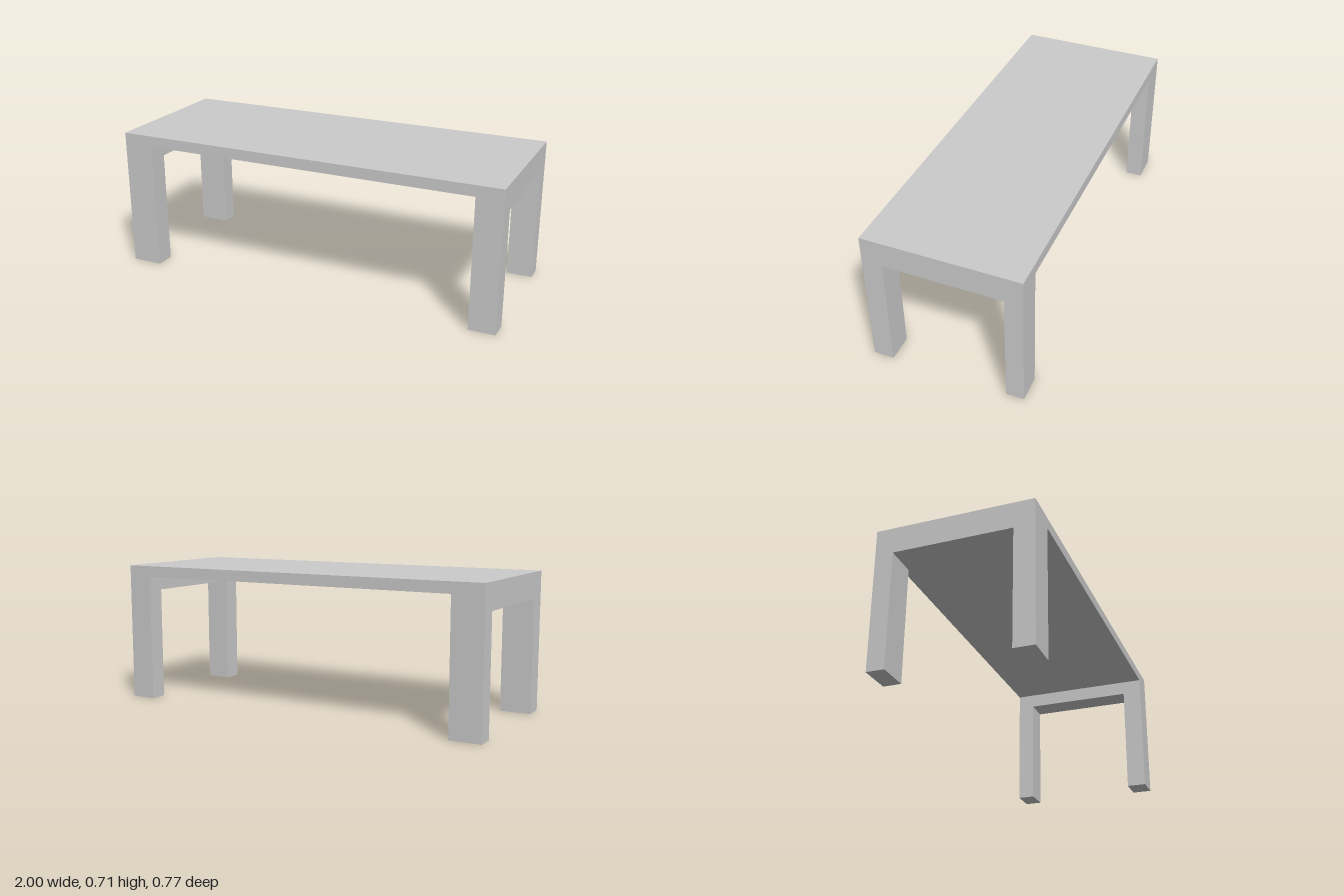
import * as THREE from 'three';

const HEIGHT = 0.71, SLAB_BOTTOM = 0.655, APRON_BOTTOM = 0.58;
const HALF_X = 1, FRONT = 0.384, BACK = -0.384;
const FRONT_LEG_INNER = 0.283, BACK_LEG_INNER = -0.296;

const material = new THREE.MeshStandardMaterial({ color: 0xcccccc, flatShading: true });

// Two legs joined by an apron, drawn in the z-y plane and extruded along x
function endFrame(name, xMin, xMax) {
  const outline = [
    [BACK, 0], [BACK_LEG_INNER, 0], [BACK_LEG_INNER, APRON_BOTTOM], [FRONT_LEG_INNER, APRON_BOTTOM],
    [FRONT_LEG_INNER, 0], [FRONT, 0], [FRONT, SLAB_BOTTOM], [BACK, SLAB_BOTTOM],
  ];
  // shape x holds -z, so that a quarter turn about y puts it upright along z
  const shape = new THREE.Shape(outline.map(([z, y]) => new THREE.Vector2(-z, y)));
  const geometry = new THREE.ExtrudeGeometry(shape, { depth: xMax - xMin, bevelEnabled: false });
  geometry.rotateY(Math.PI / 2).translate(xMin, 0, 0);
  const mesh = new THREE.Mesh(geometry, material);
  mesh.name = name;
  return mesh;
}

export function createModel() {
  const table = new THREE.Group();
  table.name = 'table';

  // Thin top across the full length
  const top = new THREE.Mesh(
    new THREE.BoxGeometry(2 * HALF_X, HEIGHT - SLAB_BOTTOM, FRONT - BACK), material);
  top.position.y = (HEIGHT + SLAB_BOTTOM) / 2;
  top.name = 'tableTop';

  // End frames; the one at -x is slightly thicker
  table.add(
    top,
    endFrame('leftLegFrame', 0.868, HALF_X),
    endFrame('rightLegFrame', -HALF_X, -0.842),
  );
  return table;
}
